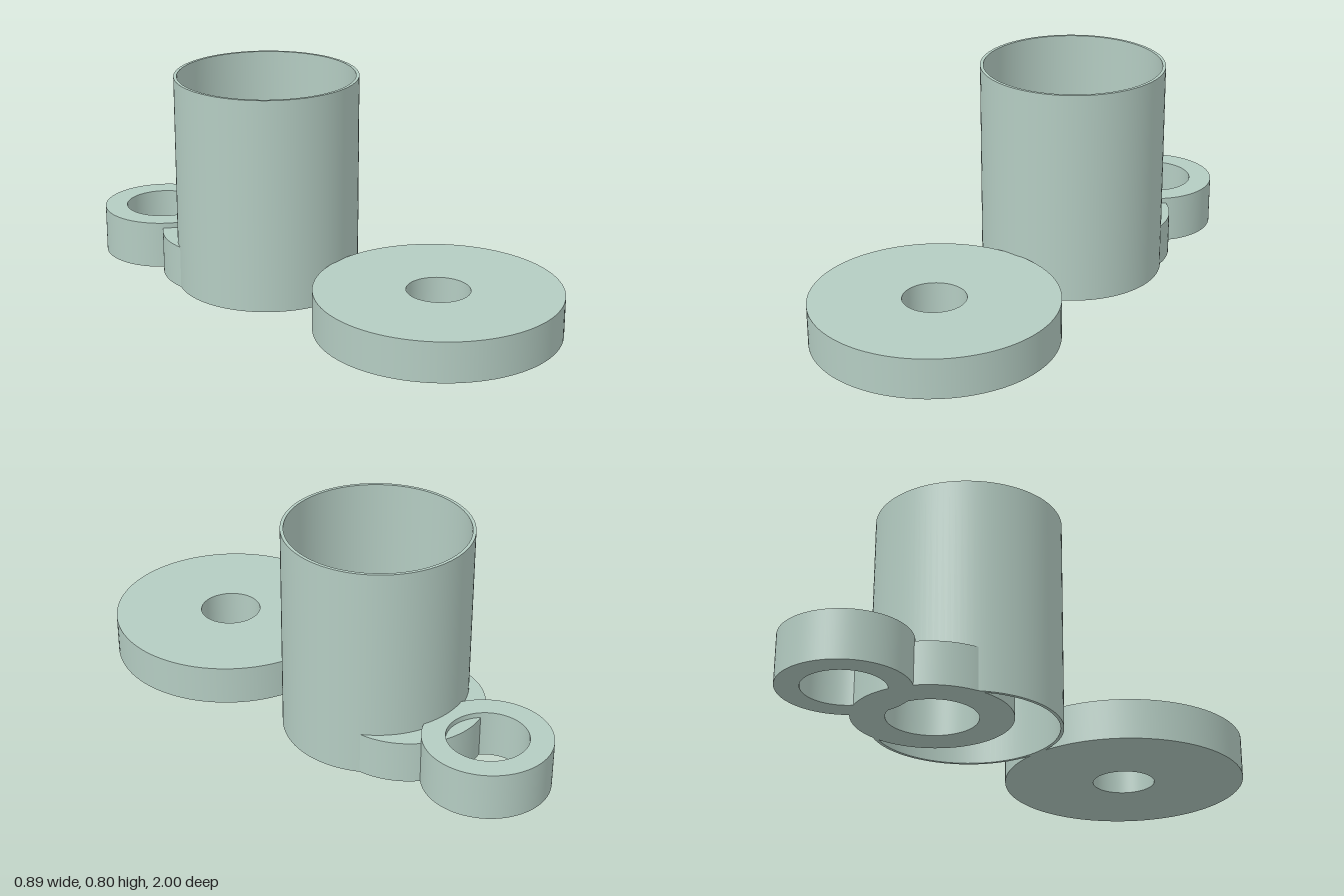
import * as THREE from 'three';

const material = new THREE.MeshStandardMaterial({ color: 0xb4ccc2 });

// Upright ring standing on the ground: flat caps, smooth inner and outer walls
function ring(name, outer, inner, height, z) {
  const group = new THREE.Group();
  group.name = name;
  const lathe = (part, points) => {
    const mesh = new THREE.Mesh(
      new THREE.LatheGeometry(points.map(([r, y]) => new THREE.Vector2(r, y)), 96), material);
    mesh.name = part;
    group.add(mesh);
  };
  lathe('outerWall', [[outer, 0], [outer, height]]);
  lathe('topFace', [[outer, height], [inner, height]]);
  lathe('innerWall', [[inner, height], [inner, 0]]);
  lathe('bottomFace', [[inner, 0], [outer, 0]]);
  group.position.z = z;
  return group;
}

export function createModel() {
  const model = new THREE.Group();
  model.name = 'ringSet';
  model.add(
    ring('frontDisc', 0.447, 0.115, 0.15, 0.553),
    ring('tallTube', 0.342, 0.33, 0.802, -0.232),
    ring('middleRing', 0.285, 0.163, 0.16, -0.387),
    ring('backRing', 0.232, 0.147, 0.18, -0.768)
  );
  return model;
}
